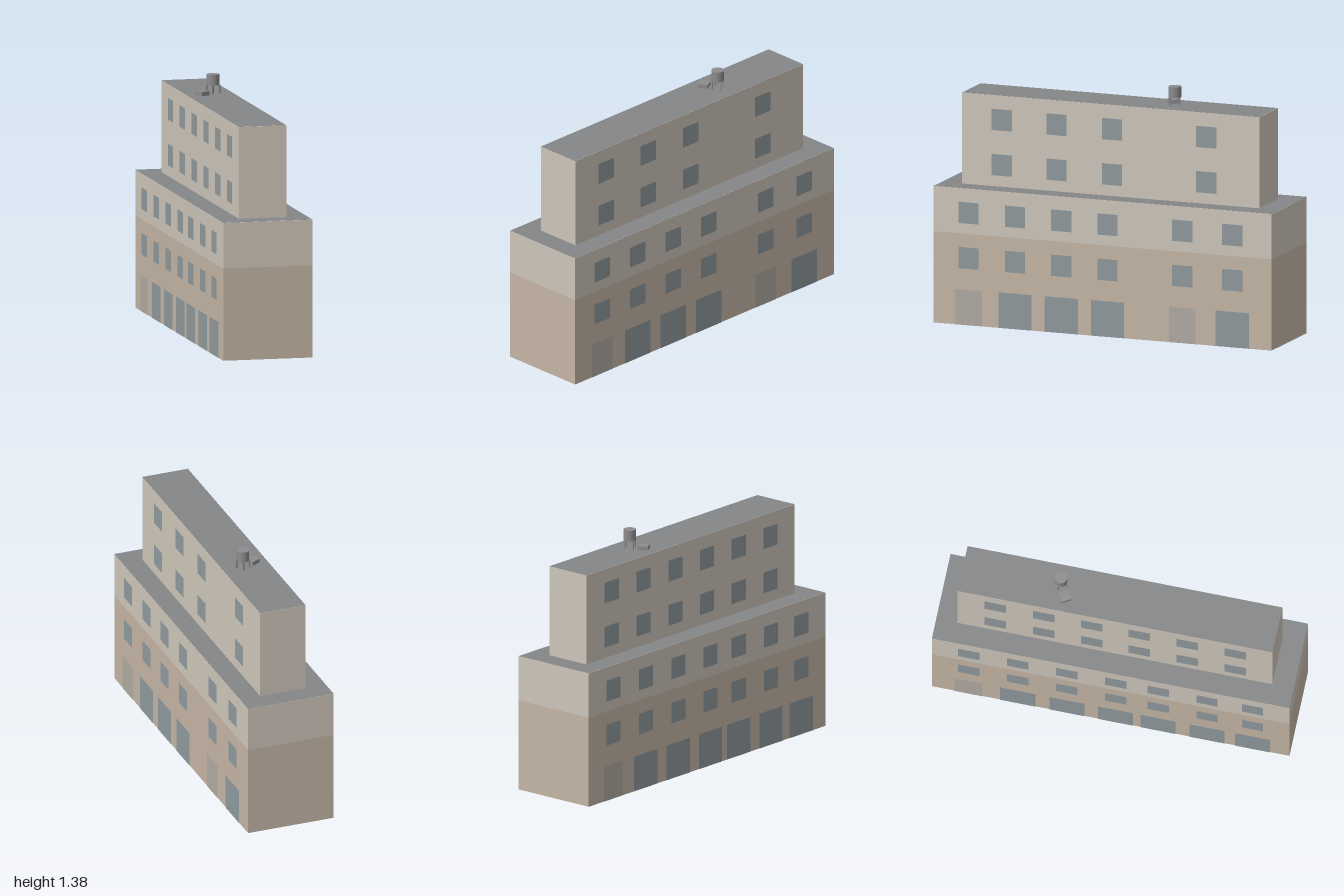
import * as THREE from 'three';

const paint = (color) => new THREE.MeshStandardMaterial({ color, flatShading: true });

export function createModel() {
  const model = new THREE.Group();
  const building = new THREE.Group();
  building.name = 'building';
  building.rotation.y = 1.068; // the block stands at an angle to the axes
  model.add(building);

  const brownWall = paint(0xc4b5a5), paleWall = paint(0xcdc5b9), roofGrey = paint(0x858688);
  const glass = paint(0x8f999c), shutter = paint(0xb0aaa1), metal = paint(0x8c8c8e);

  function add(parent, name, geometry, material, x, y, z) {
    const mesh = new THREE.Mesh(geometry, material);
    mesh.name = name;
    mesh.position.set(x, y, z);
    parent.add(mesh);
    return mesh;
  }
  const block = (name, w, d, y0, y1, mat) =>
    add(building, name, new THREE.BoxGeometry(w, y1 - y0, d), mat, 0, (y0 + y1) / 2, 0);
  const deck = (name, w, d, y, turn) => {
    add(building, name, new THREE.PlaneGeometry(w, d), roofGrey, 0, y, 0).rotation.x = turn;
  };

  // Stepped wall blocks, roof decks and underside
  const L = 2.003, D = 0.504, topL = 1.763, topD = 0.268;
  block('lowerWalls', L, D, 0.001, 0.512, brownWall);
  block('middleWalls', L, D, 0.512, 0.765, paleWall);
  block('upperWalls', topL, topD, 0.765, 1.275, paleWall);
  deck('terraceRoof', L, D, 0.766, -Math.PI / 2);
  deck('topRoof', topL, topD, 1.276, -Math.PI / 2);
  deck('underside', L, D, 0, Math.PI / 2);

  // One opening, laid just proud of a long wall; side is +1 or -1
  function opening(name, side, depth, x, y0, y1, w, mat) {
    const pane = add(building, name, new THREE.PlaneGeometry(w, y1 - y0), mat,
      x, (y0 + y1) / 2, side * (depth / 2 + 0.002));
    if (side < 0) pane.rotation.y = Math.PI;
  }

  // Columns of openings on each long wall; shutters lists narrow pale doors
  const facades = [
    { side: 1, lower: [-0.794, -0.518, -0.244, 0.03, 0.473, 0.77], shutters: [0, 4],
      upper: [-0.645, -0.32, 0.008, 0.567] },
    { side: -1, lower: [0.795, 0.52, 0.245, -0.028, -0.266, -0.54, -0.795], shutters: [0],
      upper: [0.67, 0.4, 0.13, -0.137, -0.405, -0.674] },
  ];
  for (const { side, lower, shutters, upper } of facades) {
    lower.forEach((x, i) => {
      for (const y of [0.317, 0.57]) opening('lowerWindow', side, D, x, y, y + 0.119, 0.12, glass);
      if (shutters.includes(i)) opening('shutterDoor', side, D, x, 0.001, 0.2, 0.158, shutter);
      else opening('shopWindow', side, D, x, 0.001, 0.2, 0.197, glass);
    });
    for (const x of upper) {
      for (const y of [0.827, 1.08]) opening('upperWindow', side, topD, x, y, y + 0.119, 0.12, glass);
    }
  }

  // Water tank on four legs
  const tank = new THREE.Group();
  tank.name = 'waterTank';
  tank.position.set(0.179, 1.275, -0.283);
  const round = new THREE.MeshStandardMaterial({ color: 0x8c8c8e });
  add(tank, 'tankBarrel', new THREE.CylinderGeometry(0.035, 0.035, 0.06, 24), round, 0, 0.08, 0);
  for (const x of [-0.025, 0.025]) for (const z of [-0.025, 0.025]) {
    add(tank, 'tankLeg', new THREE.BoxGeometry(0.007, 0.051, 0.007), metal, x, 0.0255, z);
  }
  model.add(tank);

  // Square roof vent beside the tank
  add(model, 'roofVent', new THREE.BoxGeometry(0.058, 0.023, 0.058), metal, 0.1, 1.287, -0.284);

  return model;
}
